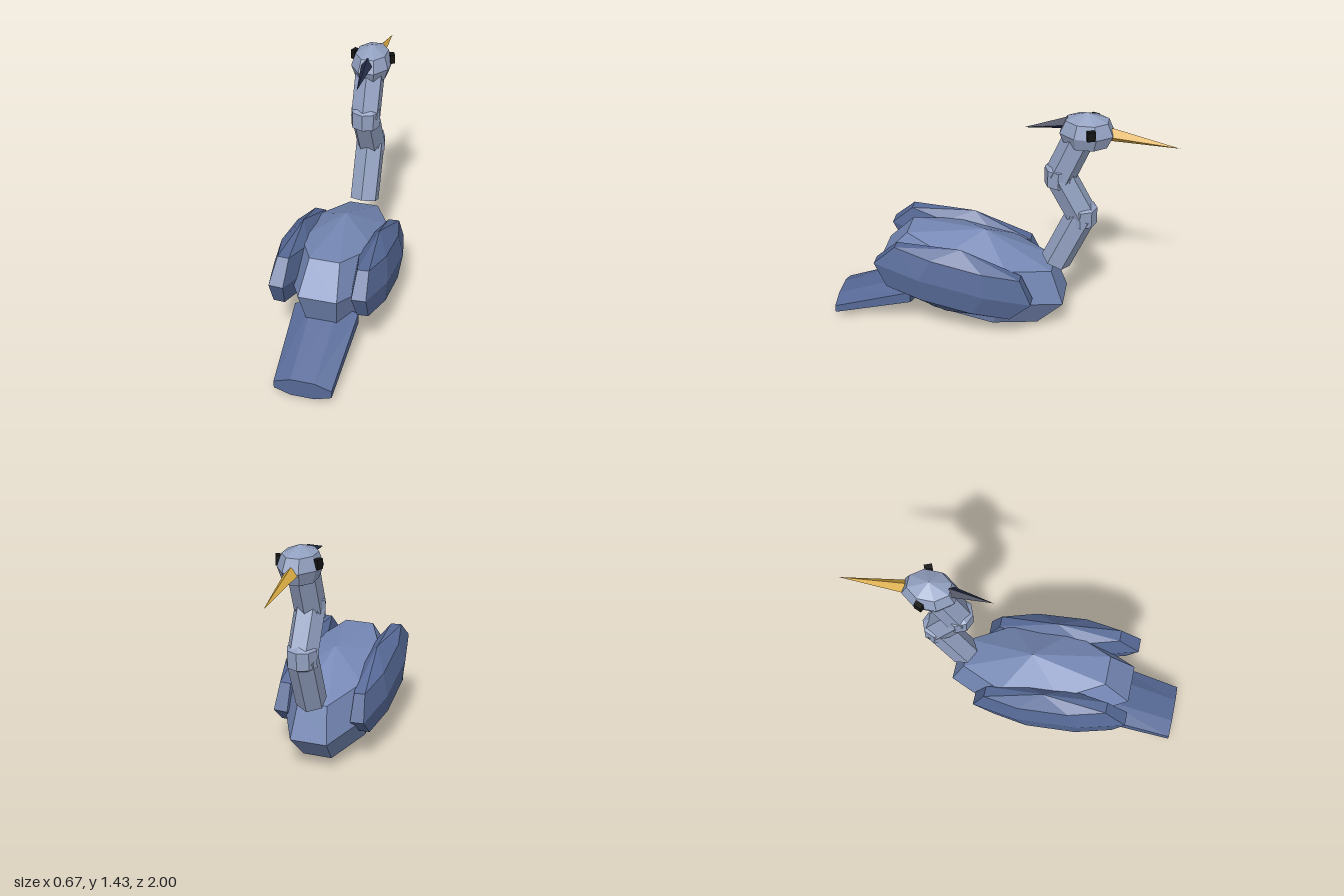
import * as THREE from 'three';

const mat = (color) => new THREE.MeshStandardMaterial({ color, flatShading: true });
const bodyBlue = mat(0x7487b4), wingBlue = mat(0x566996), neckGrey = mat(0x92a0c0);
const gold = mat(0xd6a840), navy = mat(0x232a45), black = mat(0x141414);
const TILT = THREE.MathUtils.degToRad(-12);

function add(parent, name, geometry, material, x = 0, y = 0, z = 0) {
  const mesh = new THREE.Mesh(geometry, material);
  mesh.name = name;
  mesh.position.set(x, y, z);
  parent.add(mesh);
  return mesh;
}

// Eight-sided faceted ellipsoid with flat faces towards the axes
function facetedBall(rx, ry, rz) {
  const profile = [[0, -1], [0.79, -0.63], [1, 0], [0.79, 0.63], [0, 1]]
    .map(([r, y]) => new THREE.Vector2(r, y));
  return new THREE.LatheGeometry(profile, 8).rotateY(Math.PI / 8).scale(rx, ry, rz);
}

// Tapered rod or cone from point a to point b
function rod(parent, name, a, b, r0, r1, sides, material, twist = 0) {
  const dir = b.clone().sub(a);
  const geometry = new THREE.CylinderGeometry(r1, r0, dir.length(), sides).rotateY(twist);
  const mesh = add(parent, name, geometry, material);
  mesh.position.copy(a).add(b).multiplyScalar(0.5);
  mesh.quaternion.setFromUnitVectors(new THREE.Vector3(0, 1, 0), dir.normalize());
  return mesh;
}

// Flattened tail with upright ends, sloping down to the rear
function tailGeometry() {
  const geometry = new THREE.CylinderGeometry(1, 1, 1, 8).rotateY(Math.PI / 8).rotateX(Math.PI / 2);
  const p = geometry.attributes.position;
  const mix = THREE.MathUtils.lerp;
  for (let i = 0; i < p.count; i++) {
    const t = p.getZ(i) + 0.5;
    p.setXYZ(i,
      p.getX(i) * mix(0.203, 0.179, t),
      p.getY(i) * mix(0.09, 0.06, t) + mix(0.213, 0.056, t),
      mix(0.52, 1, t));
  }
  geometry.computeVertexNormals();
  return geometry;
}

export function createModel() {
  const bird = new THREE.Group();
  bird.name = 'bird';
  const v = (y, z) => new THREE.Vector3(0, y, z);

  // Body and tail
  add(bird, 'body', facetedBall(0.29, 0.302, 0.603), bodyBlue, 0, 0.33, 0.155).rotation.x = TILT;
  add(bird, 'tail', tailGeometry(), wingBlue);

  // Folded wings
  for (const [side, s] of [['left', 1], ['right', -1]]) {
    const wing = add(bird, side + 'Wing', facetedBall(0.108, 0.217, 0.512), wingBlue, s * 0.236, 0.3975, 0.2425);
    wing.rotation.set(TILT, 0, s * 0.05);
  }

  // S-shaped neck: three hexagonal segments with faceted joints
  const path = [v(0.455, -0.33), v(0.785, -0.472), v(1.03, -0.34), v(1.3, -0.45)];
  for (let i = 0; i < 3; i++) {
    rod(bird, 'neckSegment' + (i + 1), path[i], path[i + 1], 0.09, 0.09, 6, neckGrey, i === 1 ? Math.PI / 6 : 0);
    if (i > 0) add(bird, 'neckJoint' + i, new THREE.SphereGeometry(0.102, 8, 3), neckGrey, 0, path[i].y, path[i].z);
  }

  // Head with beak, crest and eyes
  const head = new THREE.Group();
  head.name = 'head';
  bird.add(head);
  add(head, 'skull', facetedBall(0.12, 0.118, 0.16), neckGrey, 0, 1.317, -0.482);
  rod(head, 'beak', v(1.311, -0.615), v(1.255, -1), 0.04, 0, 4, gold);
  rod(head, 'crest', v(1.366, -0.38), v(1.315, -0.13), 0.036, 0, 4, navy);
  for (const [side, s] of [['left', 1], ['right', -1]]) {
    const eye = add(head, side + 'Eye', new THREE.BoxGeometry(0.028, 0.055, 0.045), black, s * 0.113, 1.348, -0.515);
    eye.rotation.y = s * 0.38;
  }
  return bird;
}
